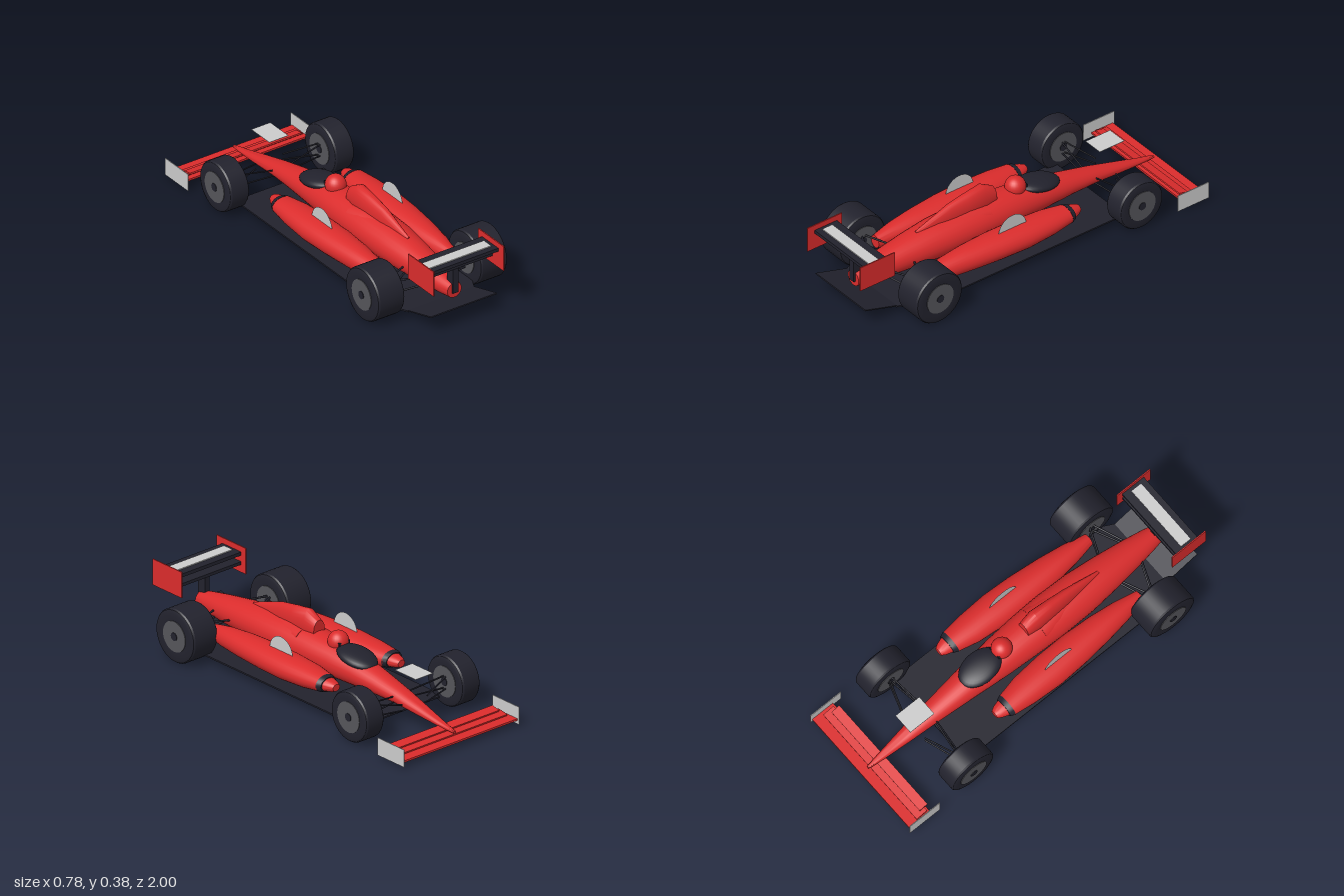
import * as THREE from 'three';
import { toCreasedNormals } from 'three/addons/utils/BufferGeometryUtils.js';

const mat = (name, color) => {
  const m = new THREE.MeshStandardMaterial({ color, side: THREE.DoubleSide });
  m.name = name;
  return m;
};

// Skin elliptical stations [z, centreX, radiusX, centreY, radiusY], closing both ends
function loft(stations, sides = 28) {
  const first = stations[0], last = stations[stations.length - 1];
  const tip = s => [s[0], s[1], 0, s[3], 0];
  const rings = [tip(first), ...stations, tip(last)];
  const pos = [], idx = [];
  rings.forEach(([z, cx, rx, cy, ry], i) => {
    for (let j = 0; j < sides; j++) {
      const t = (j / sides) * Math.PI * 2;
      pos.push(cx + rx * Math.cos(t), cy + ry * Math.sin(t), z);
      if (i === rings.length - 1) continue;
      const a = i * sides + j, b = i * sides + (j + 1) % sides;
      idx.push(a, b, a + sides, b, b + sides, a + sides);
    }
  });
  const g = new THREE.BufferGeometry();
  g.setAttribute('position', new THREE.Float32BufferAttribute(pos, 3));
  g.setIndex(idx);
  return toCreasedNormals(g, 0.7);
}

export function createModel() {
  const red = mat('bodyRed', 0xdb2c2c);
  const dark = mat('darkRubber', 0x22222d);
  const pale = mat('paleGrey', 0xcccccc);
  const rim = mat('rimGrey', 0x55555a);
  const car = new THREE.Group();
  car.name = 'racingCar';

  const add = (name, geo, material, x = 0, y = 0, z = 0, parent = car) => {
    const m = new THREE.Mesh(geo, material);
    m.name = name;
    m.position.set(x, y, z);
    parent.add(m);
    return m;
  };
  const box = (name, material, w, h, d, x, y, z) =>
    add(name, new THREE.BoxGeometry(w, h, d), material, x, y, z);
  const rod = (name, a, b, r) => {
    const p = new THREE.Vector3(...a), q = new THREE.Vector3(...b);
    const m = add(name, new THREE.CylinderGeometry(r, r, p.distanceTo(q), 8), dark);
    m.position.copy(p).lerp(q, 0.5);
    m.quaternion.setFromUnitVectors(new THREE.Vector3(0, 1, 0), q.sub(p).normalize());
  };

  // Fuselage with needle nose
  add('fuselage', loft([
    [-0.95, 0, 0.008, 0.065, 0.008], [-0.85, 0, 0.022, 0.078, 0.016],
    [-0.72, 0, 0.038, 0.1, 0.027], [-0.57, 0, 0.054, 0.126, 0.04],
    [-0.42, 0, 0.07, 0.144, 0.056], [-0.28, 0, 0.085, 0.157, 0.073],
    [-0.12, 0, 0.1, 0.167, 0.088], [0.05, 0, 0.111, 0.174, 0.095],
    [0.2, 0, 0.116, 0.175, 0.096], [0.38, 0, 0.112, 0.174, 0.093],
    [0.54, 0, 0.096, 0.168, 0.082], [0.7, 0, 0.075, 0.16, 0.066],
    [0.82, 0, 0.055, 0.153, 0.05], [0.88, 0, 0.042, 0.15, 0.041]]), red);

  // Engine cover: low shoulders and tall airbox
  add('engineShoulder', loft([
    [0.1, 0, 0.095, 0.215, 0.055], [0.2, 0, 0.085, 0.215, 0.062],
    [0.4, 0, 0.055, 0.21, 0.055]]), red);
  add('airbox', loft([
    [0.03, 0, 0.036, 0.27, 0.053], [0.1, 0, 0.046, 0.28, 0.082],
    [0.2, 0, 0.041, 0.27, 0.077], [0.3, 0, 0.034, 0.26, 0.069],
    [0.5, 0, 0.012, 0.225, 0.035]]), red);

  // Cockpit and driver
  const cockpit = add('cockpitOpening', new THREE.SphereGeometry(1, 28, 16), dark, 0, 0.225, -0.245);
  cockpit.scale.set(0.083, 0.033, 0.12);
  cockpit.rotation.x = -0.17;
  add('driverHelmet', new THREE.SphereGeometry(0.053, 24, 16), red, 0, 0.262, -0.108);
  box('helmetVisor', dark, 0.07, 0.018, 0.02, 0, 0.264, -0.145);

  // Floor with raised tail panel
  const outline = new THREE.Shape();
  outline.moveTo(-0.272, 0.56);
  [[0.272, 0.56], [0.272, -0.62], [0.195, -0.77], [-0.195, -0.77], [-0.272, -0.62]]
    .forEach(p => outline.lineTo(...p));
  const floor = add('floor', new THREE.ExtrudeGeometry(outline, { depth: 0.008, bevelEnabled: false }),
    dark, 0, 0.038, 0);
  floor.rotation.x = -Math.PI / 2;
  const tail = box('tailDiffuser', dark, 0.39, 0.006, 0.2, 0, 0.073, 0.863);
  tail.rotation.x = -0.285;

  // Front wing
  box('frontWingMain', red, 0.74, 0.01, 0.13, 0, 0.033, -0.925);
  box('frontWingFlap', red, 0.7, 0.008, 0.065, 0, 0.05, -0.905).rotation.x = -0.15;
  box('frontWingUpperFlap', red, 0.66, 0.008, 0.05, 0, 0.066, -0.877).rotation.x = -0.2;

  // Rear wing
  box('rearWingPost', dark, 0.031, 0.15, 0.05, 0, 0.213, 0.865);
  box('rearWingLower', dark, 0.41, 0.016, 0.085, 0, 0.292, 0.865);
  box('rearWingUpper', dark, 0.41, 0.018, 0.135, 0, 0.342, 0.89);
  box('rearWingPanel', pale, 0.37, 0.006, 0.06, 0, 0.353, 0.895);

  // Flat panel above the nose
  box('nosePanel', pale, 0.112, 0.002, 0.15, 0, 0.285, -0.655);

  // Wheel: rounded tyre, rim disc and hub cap, axis along x
  const wheel = (name, s, r, w, x, y, z) => {
    const g = new THREE.Group();
    g.name = name;
    g.position.set(s * x, y, z);
    const h = w / 2, b = 0.014;
    const profile = [[0.05, -h + 0.004], [r * 0.6, -h + 0.002], [r * 0.85, -h], [r - b * 0.4, -h + b * 0.4],
      [r, -h + b], [r, h - b], [r - b * 0.4, h - b * 0.4], [r * 0.85, h], [r * 0.6, h - 0.002], [0.05, h - 0.004]]
      .map(p => new THREE.Vector2(...p));
    add('tyre', toCreasedNormals(new THREE.LatheGeometry(profile, 40), 0.5), dark, 0, 0, 0, g).rotation.z = Math.PI / 2;
    add('rim', new THREE.CylinderGeometry(0.08, 0.08, w + 0.002, 32), rim, 0, 0, 0, g).rotation.z = Math.PI / 2;
    add('hubCap', new THREE.CylinderGeometry(0.021, 0.021, w + 0.008, 16), dark, 0, 0, 0, g).rotation.z = Math.PI / 2;
    car.add(g);
  };

  const fin = new THREE.Shape();
  fin.absarc(0, 0, 0.084, 0, Math.PI);

  for (const s of [1, -1]) {
    const side = s > 0 ? 'left' : 'right';
    const at = list => list.map(([z, cx, ...r]) => [z, s * cx, ...r]);

    wheel(side + 'RearWheel', s, 0.14, 0.163, 0.303, 0.142, 0.648);
    wheel(side + 'FrontWheel', s, 0.131, 0.12, 0.31, 0.136, -0.595);

    // Side pod, dark inlet band and nose cone
    add(side + 'SidePod', loft(at([
      [-0.255, 0.212, 0.06, 0.152, 0.042], [-0.14, 0.206, 0.08, 0.148, 0.057],
      [0.02, 0.203, 0.091, 0.145, 0.065], [0.18, 0.198, 0.088, 0.145, 0.065],
      [0.34, 0.194, 0.075, 0.143, 0.061], [0.48, 0.192, 0.056, 0.14, 0.052],
      [0.6, 0.19, 0.03, 0.135, 0.035]])), red);
    add(side + 'InletBand', loft(at([
      [-0.275, 0.212, 0.051, 0.152, 0.037], [-0.25, 0.212, 0.062, 0.152, 0.044]])), dark);
    add(side + 'InletCone', loft(at([
      [-0.33, 0.21, 0.022, 0.152, 0.018], [-0.31, 0.21, 0.034, 0.152, 0.026],
      [-0.27, 0.211, 0.047, 0.152, 0.034]])), red);

    // Half-round plate on the pod
    const plate = add(side + 'PodFin', new THREE.ShapeGeometry(fin, 24), pale, s * 0.208, 0.2, 0.072);
    plate.rotation.y = Math.PI / 2;

    // Wing end plates
    box(side + 'FrontEndPlate', pale, 0.004, 0.092, 0.19, s * 0.371, 0.056, -0.905);
    box(side + 'RearEndPlate', red, 0.006, 0.137, 0.21, s * 0.207, 0.312, 0.895);

    // Suspension arms
    for (const [y0, y1] of [[0.162, 0.17], [0.125, 0.092]]) {
      rod(side + 'RearArm', [s * 0.07, y0, 0.57], [s * 0.235, y1, 0.64], 0.005);
      rod(side + 'RearArm', [s * 0.06, y0, 0.72], [s * 0.235, y1, 0.65], 0.005);
    }
    for (const [y0, y1] of [[0.135, 0.165], [0.105, 0.1]]) {
      rod(side + 'FrontArm', [s * 0.045, y0, -0.56], [s * 0.26, y1, -0.59], 0.004);
      rod(side + 'FrontArm', [s * 0.08, y0, -0.66], [s * 0.26, y1, -0.6], 0.004);
    }
  }
  return car;
}
